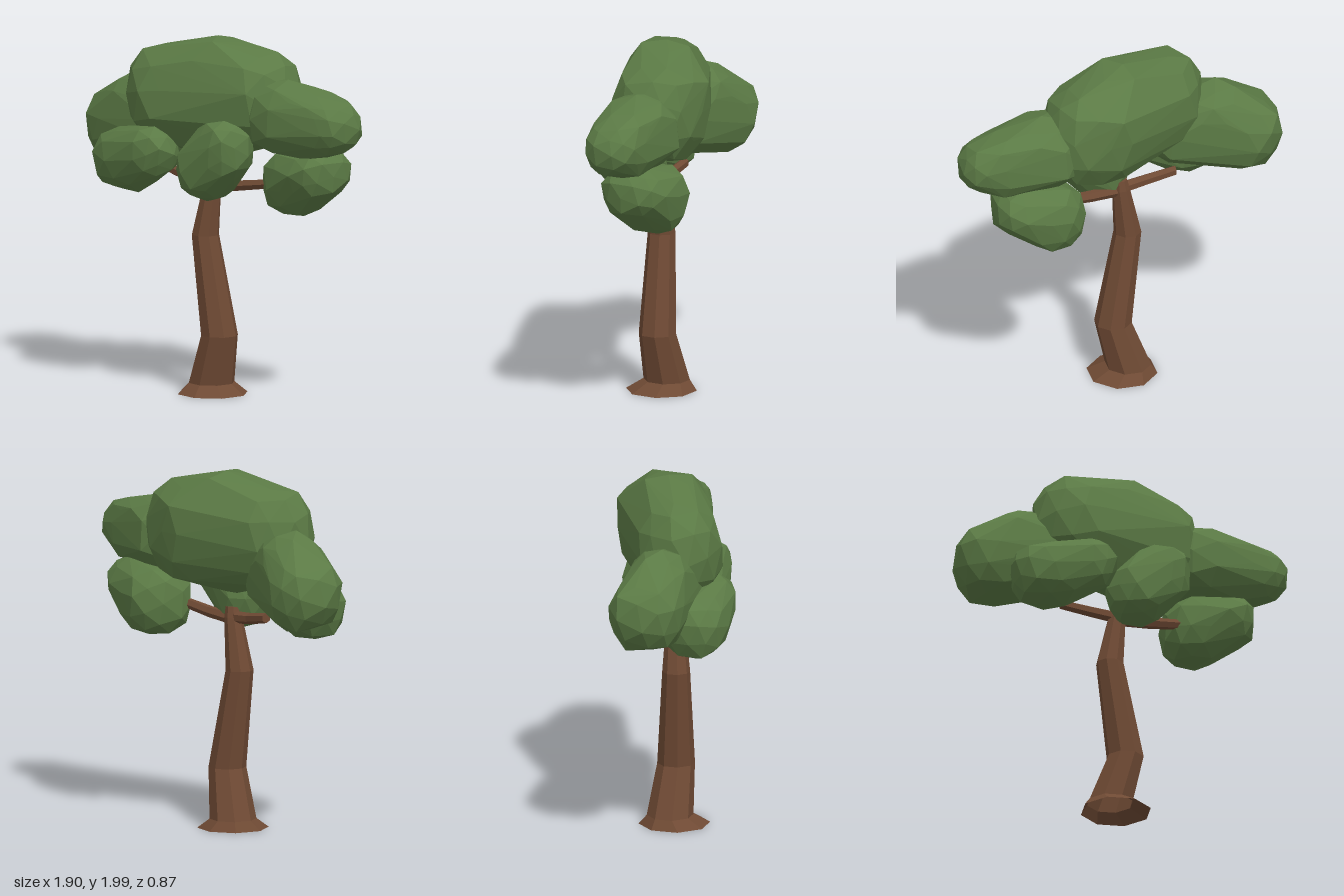
import * as THREE from 'three';
import { ConvexGeometry } from 'three/addons/geometries/ConvexGeometry.js';

const bark = new THREE.MeshStandardMaterial({ color: 0x6f4a34, flatShading: true, side: THREE.DoubleSide });
const leaf = new THREE.MeshStandardMaterial({ color: 0x5b7a45, flatShading: true });

// Small seeded random, 0..1
function seeded(seed) {
  let s = seed * 7919 + 17;
  return () => (s = (s * 16807) % 2147483647) / 2147483647;
}

// Faceted leaf clump: the hull round a few overlapping, slightly boxy ellipsoids
// lobe = [x, y, z, radiusX, radiusY, radiusZ]
function clump(name, seed, lobes) {
  const rnd = seeded(seed);
  for (let i = 0; i < 5; i++) rnd();
  const boxy = (n) => Math.sign(n) * Math.abs(n) ** 0.85;
  const points = [];
  for (const [x, y, z, rx, ry, rz] of lobes) {
    const ball = new THREE.IcosahedronGeometry(1, 1);
    ball.rotateX(rnd() * 3).rotateY(rnd() * 3);
    const seen = new Set();
    const p = ball.attributes.position;
    for (let i = 0; i < p.count; i++) {
      const v = new THREE.Vector3().fromBufferAttribute(p, i);
      const key = v.toArray().map((n) => Math.round(n * 100)).join();
      if (seen.has(key)) continue;
      seen.add(key);
      v.multiplyScalar(0.9 + rnd() * 0.15);
      points.push(new THREE.Vector3(x + boxy(v.x) * rx, y + boxy(v.y) * ry, z + boxy(v.z) * rz));
    }
  }
  const mesh = new THREE.Mesh(new ConvexGeometry(points), leaf);
  mesh.name = name;
  return mesh;
}

// Tapered limb through rings [x, y, z, radius]; rings lie across the given axes u and v
function limb(name, rings, sides, u, v) {
  const pos = [];
  const idx = [];
  for (const [x, y, z, r] of rings) {
    for (let i = 0; i < sides; i++) {
      const a = ((i + 0.5) / sides) * Math.PI * 2;
      const c = Math.cos(a) * r, s = Math.sin(a) * r;
      pos.push(x + u.x * c + v.x * s, y + u.y * c + v.y * s, z + u.z * c + v.z * s);
    }
  }
  for (let k = 0; k < rings.length - 1; k++) {
    for (let i = 0; i < sides; i++) {
      const a = k * sides + i, b = k * sides + ((i + 1) % sides);
      idx.push(a, b, b + sides, a, b + sides, a + sides);
    }
  }
  // End cap
  const e = (rings.length - 1) * sides;
  for (let i = 1; i < sides - 1; i++) idx.push(e, e + i, e + i + 1);
  const geo = new THREE.BufferGeometry();
  geo.setAttribute('position', new THREE.Float32BufferAttribute(pos, 3));
  geo.setIndex(idx);
  const flat = geo.toNonIndexed();
  flat.computeVertexNormals();
  const mesh = new THREE.Mesh(flat, bark);
  mesh.name = name;
  return mesh;
}

export function createModel() {
  const tree = new THREE.Group();
  tree.name = 'tree';
  const X = new THREE.Vector3(1, 0, 0), Y = new THREE.Vector3(0, 1, 0), Z = new THREE.Vector3(0, 0, 1);

  // Crooked trunk with a flared foot
  tree.add(limb('trunk', [
    [-0.035, 0, -0.005, 0.197],
    [-0.065, 0.055, -0.02, 0.129],
    [0.018, 0.33, -0.012, 0.104],
    [-0.072, 0.88, 0.017, 0.077],
    [-0.03, 1.17, 0, 0.05],
    [-0.025, 1.23, 0, 0.04],
  ], 8, Z, X));

  // Side branches reaching into the leaves
  tree.add(limb('leftBranch', [
    [-0.03, 1.16, 0, 0.035], [0.15, 1.175, -0.05, 0.032], [0.38, 1.21, -0.12, 0.028],
  ], 6, Y, Z));
  tree.add(limb('rightBranch', [
    [-0.03, 1.17, 0, 0.035], [-0.17, 1.18, 0.03, 0.032], [-0.35, 1.21, 0.04, 0.028],
  ], 6, Z, Y));

  // Leaf clumps
  const leaves = new THREE.Group();
  leaves.name = 'leaves';
  leaves.add(
    clump('crownLeaves', 1, [
      [-0.29, 1.65, 0.11, 0.235, 0.275, 0.24],
      [-0.04, 1.66, -0.02, 0.2, 0.345, 0.23],
      [0.1, 1.65, -0.14, 0.2, 0.3, 0.245],
      [0.23, 1.65, -0.14, 0.22, 0.28, 0.235],
    ]),
    clump('rightLeaves', 2, [
      [-0.75, 1.41, 0.06, 0.2, 0.215, 0.215],
      [-0.57, 1.53, 0.08, 0.2, 0.2, 0.19],
      [-0.36, 1.45, 0.1, 0.19, 0.19, 0.17],
    ]),
    clump('leftUpperLeaves', 3, [
      [0.45, 1.585, -0.155, 0.23, 0.22, 0.225],
      [0.68, 1.57, -0.2, 0.15, 0.19, 0.19],
      [0.8, 1.57, -0.21, 0.145, 0.15, 0.16],
    ]),
    clump('leftLowerLeaves', 4, [
      [0.43, 1.22, -0.24, 0.18, 0.2, 0.2],
      [0.61, 1.29, -0.24, 0.165, 0.15, 0.195],
    ]),
    clump('frontRightLeaves', 5, [
      [-0.45, 1.28, 0.26, 0.22, 0.185, 0.18],
      [-0.25, 1.35, 0.26, 0.18, 0.15, 0.15],
    ]),
    clump('frontLeftLeaves', 6, [
      [0.06, 1.27, 0.11, 0.175, 0.175, 0.165],
      [0.2, 1.4, 0.09, 0.17, 0.17, 0.16],
    ]),
  );
  tree.add(leaves);
  return tree;
}
